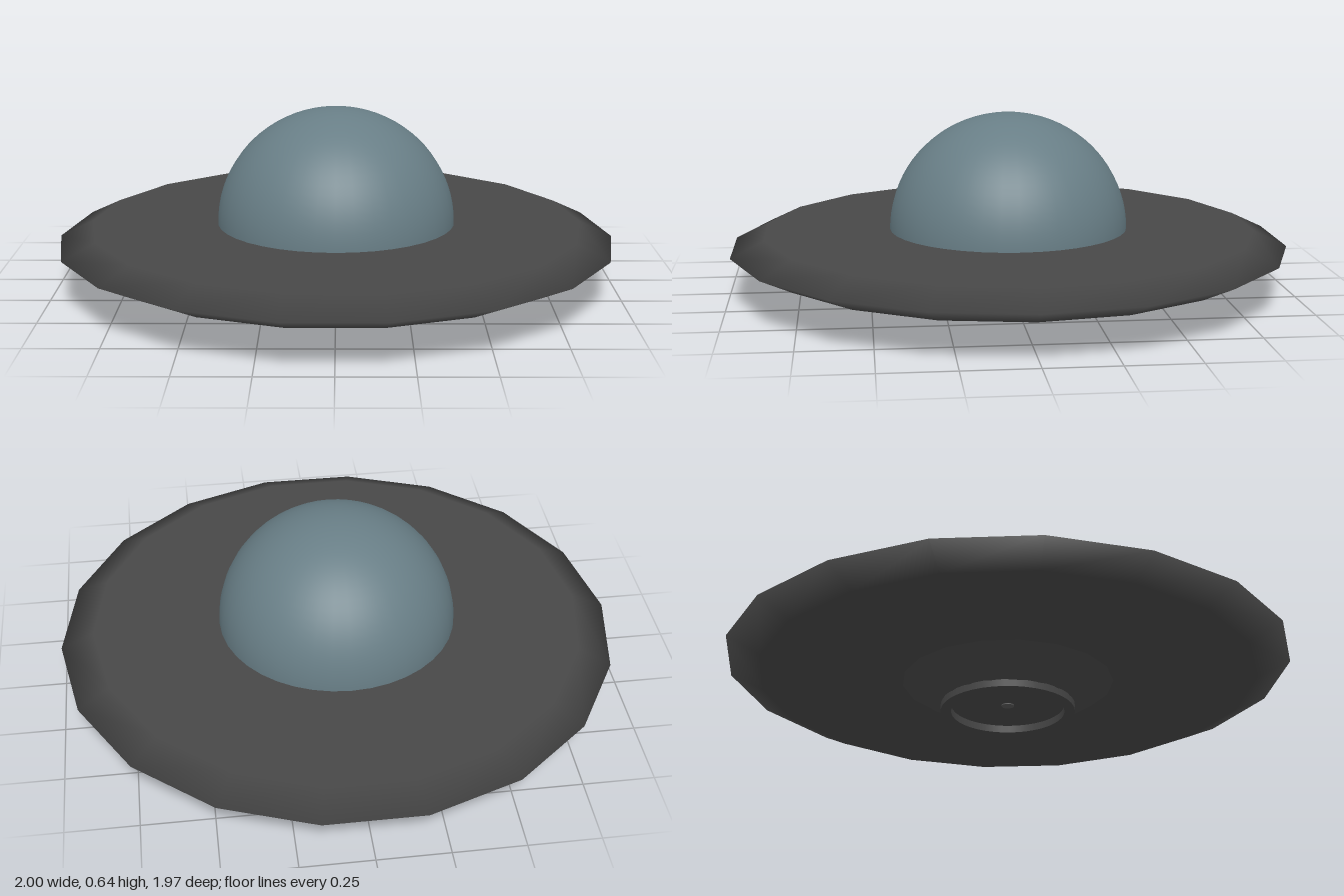
import * as THREE from 'three';

const SIDES = 18;

export function createModel() {
  const model = new THREE.Group();
  const hull = new THREE.MeshStandardMaterial({ name: 'dark grey hull', color: 0x484848 });
  const facetedHull = hull.clone();
  facetedHull.flatShading = true;
  const glass = new THREE.MeshStandardMaterial({ name: 'blue grey dome', color: 0x687e86 });
  const light = new THREE.MeshStandardMaterial({ name: 'grey centre stud', color: 0x585858 });

  const add = (name, geometry, material, y = 0) => {
    const mesh = new THREE.Mesh(geometry, material);
    mesh.name = name;
    mesh.position.y = y;
    model.add(mesh);
    return mesh;
  };
  const lathe = (points, sides) => new THREE.LatheGeometry(
    points.map(([r, y]) => new THREE.Vector2(r, y)), sides, Math.PI / 2);

  // Saucer: flat plates, with a smooth diamond-section rim
  add('saucerTop', new THREE.CircleGeometry(0.88, SIDES).rotateX(-Math.PI / 2), hull, 0.225);
  add('saucerBottom', new THREE.CircleGeometry(0.88, SIDES).rotateX(Math.PI / 2), hull, 0.11);
  const rim = add('saucerRim',
    new THREE.TorusGeometry(0.88, 0.12, 4, SIDES).rotateX(-Math.PI / 2), hull, 0.1675);
  rim.scale.y = 0.0575 / 0.12;

  // Cockpit dome
  const dome = add('dome',
    new THREE.SphereGeometry(0.427, 40, 20, 0, Math.PI * 2, 0, Math.PI / 2), glass, 0.222);
  dome.scale.y = 0.418 / 0.427;

  // Faceted underside cone
  add('undersideCone', lathe([[0.235, 0.022], [0.375, 0.11]], SIDES), facetedHull);

  // Round base ring with a shallow recess
  add('ringOuterWall', lathe([[0.237, 0], [0.237, 0.026]], 40), hull);
  add('ringInnerWall', lathe([[0.2, 0.026], [0.2, 0]], 40), hull);
  add('ringFace', new THREE.RingGeometry(0.2, 0.237, 40).rotateX(Math.PI / 2), hull);
  add('recessFloor', new THREE.CircleGeometry(0.2, 40).rotateX(Math.PI / 2), hull, 0.026);
  add('centreStud', new THREE.CylinderGeometry(0.022, 0.022, 0.004, 16), light, 0.024);

  return model;
}
